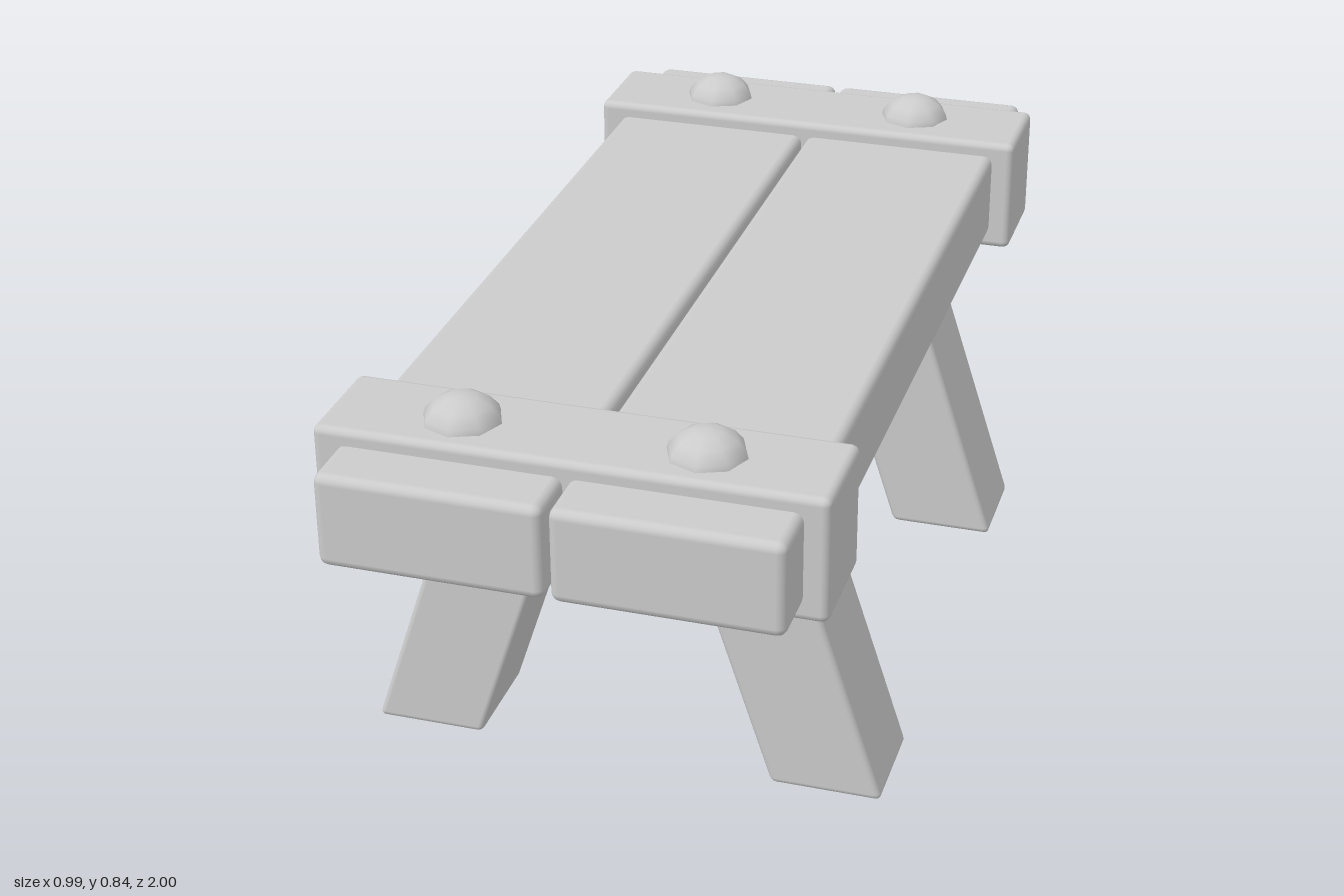
import * as THREE from 'three';
import { RoundedBoxGeometry } from 'three/addons/geometries/RoundedBoxGeometry.js';

const LEG_SLOPE = 0.327; // sideways run per unit of height

export function createModel() {
  const group = new THREE.Group();
  const material = new THREE.MeshStandardMaterial({ color: 0xcccccc });

  function add(name, geometry, x, y, z) {
    const mesh = new THREE.Mesh(geometry, material);
    mesh.name = name;
    mesh.position.set(x, y, z);
    group.add(mesh);
    return mesh;
  }

  // Shared geometries
  const plank = new RoundedBoxGeometry(0.41, 0.18, 2, 2, 0.018);
  const band = new RoundedBoxGeometry(0.92, 0.24, 0.21, 2, 0.015);
  const rivet = new THREE.SphereGeometry(0.075, 8, 4, 0, Math.PI * 2, 0, Math.PI / 2);
  rivet.scale(1, 0.8, 1);

  // Leg: an upright beam sheared so its foot stays flat on the ground
  function legGeometry(side) {
    const geometry = new RoundedBoxGeometry(0.213, 0.66, 0.21, 2, 0.012);
    geometry.translate(0, 0.33, 0);
    const shear = new THREE.Matrix4().set(
      1, -side * LEG_SLOPE, 0, 0,
      0, 1, 0, 0,
      0, 0, 1, 0,
      0, 0, 0, 1
    );
    return geometry.applyMatrix4(shear);
  }

  for (const side of [1, -1]) {
    const label = side > 0 ? 'left' : 'right';
    const leg = legGeometry(side);
    add(label + 'Plank', plank, side * 0.21, 0.67, 0);

    for (const end of [1, -1]) {
      const endLabel = end > 0 ? 'Front' : 'Back';
      add(label + endLabel + 'Leg', leg, side * 0.394, 0, end * 0.505);
      add(label + endLabel + 'Rivet', rivet, side * 0.22, 0.778, end * 0.79);
    }
  }

  // Cross bands wrapped around both planks
  add('frontBand', band, 0, 0.67, 0.785);
  add('backBand', band, 0, 0.67, -0.785);

  return group;
}
